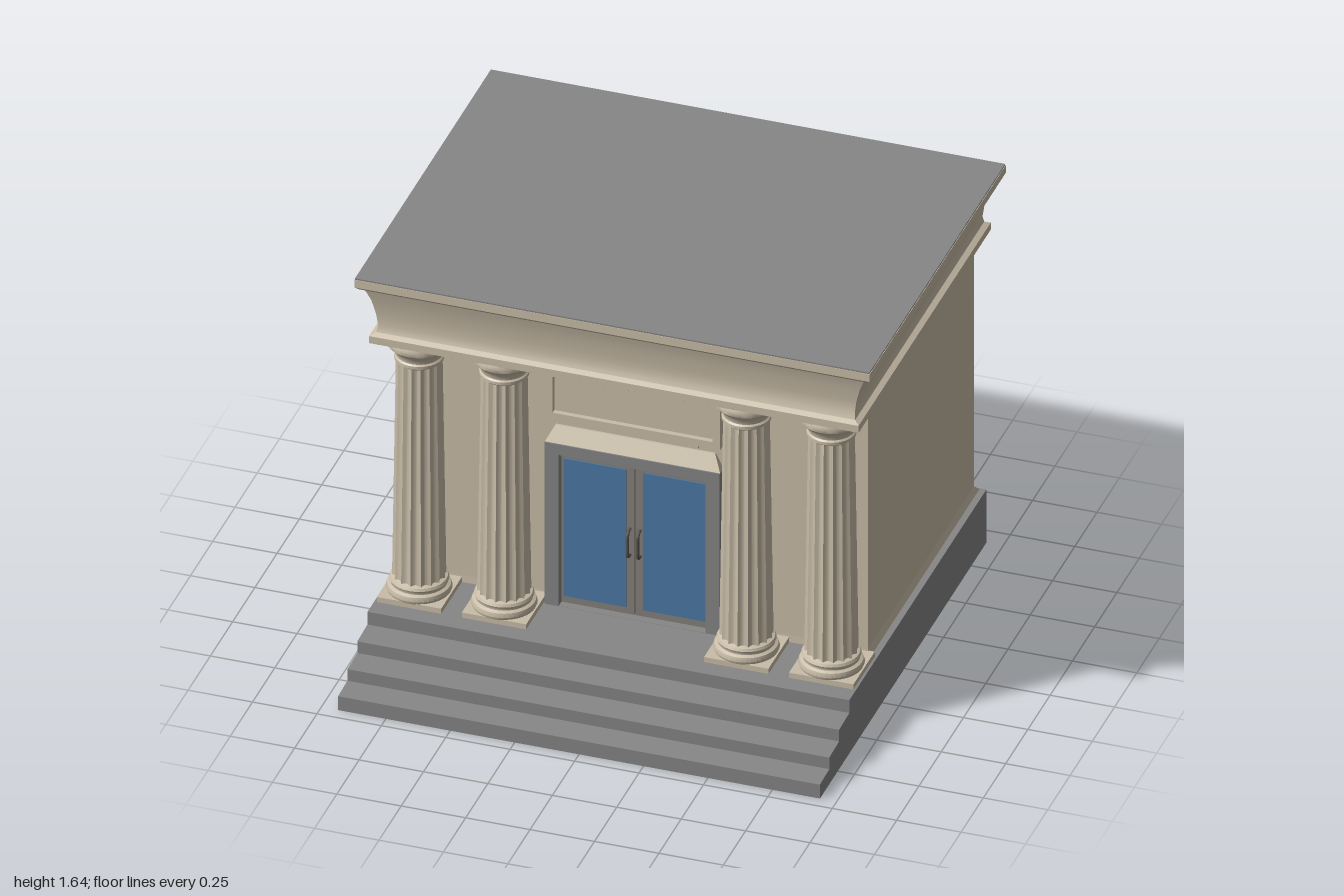
import * as THREE from 'three';
import { toCreasedNormals } from 'three/addons/utils/BufferGeometryUtils.js';

const mat = (name, color) => {
  const m = new THREE.MeshStandardMaterial({ color });
  m.name = name;
  return m;
};

export function createModel() {
  const stone = mat('warmStone', 0xc9bda8);
  const grey = mat('greyStone', 0x868686);
  const metal = mat('doorMetal', 0x85817c);
  const glass = mat('blueGlass', 0x4c7aa6);
  const dark = mat('darkMetal', 0x5c5853);

  const root = new THREE.Group();
  root.name = 'columnedBuilding';

  const add = (name, geo, material, parent = root) => {
    const m = new THREE.Mesh(geo, material);
    m.name = name;
    parent.add(m);
    return m;
  };
  // Box given by its limits on each axis
  const box = (name, x0, x1, y0, y1, z0, z1, material, parent) =>
    add(name, new THREE.BoxGeometry(x1 - x0, y1 - y0, z1 - z0)
      .translate((x0 + x1) / 2, (y0 + y1) / 2, (z0 + z1) / 2), material, parent);
  // Rectangular moulding from [y, halfX, zFront, zBack] rings
  const moulding = (rings, crease) => {
    const loops = rings.map(([y, x, f, b]) => [[-x, y, f], [x, y, f], [x, y, b], [-x, y, b]]);
    const pos = [];
    const quad = (a, b, c, d) => pos.push(...a, ...b, ...c, ...a, ...c, ...d);
    for (let i = 0; i < loops.length - 1; i++) {
      for (let k = 0; k < 4; k++) {
        const n = (k + 1) % 4;
        quad(loops[i][k], loops[i][n], loops[i + 1][n], loops[i + 1][k]);
      }
    }
    const [a, b, c, d] = loops[0];
    quad(d, c, b, a);
    const [e, f, g, h] = loops[loops.length - 1];
    quad(e, f, g, h);
    const geo = new THREE.BufferGeometry();
    geo.setAttribute('position', new THREE.Float32BufferAttribute(pos, 3));
    geo.computeVertexNormals();
    return toCreasedNormals(geo, crease);
  };

  // Stepped base, extruded across x
  const profile = new THREE.Shape([
    [-0.92, 0], [0.95, 0], [0.95, 0.06], [0.845, 0.065], [0.845, 0.115], [0.735, 0.12],
    [0.735, 0.17], [0.62, 0.175], [0.62, 0.23], [-0.92, 0.23],
  ].map(([z, y]) => new THREE.Vector2(z, y)));
  add('steppedBase', new THREE.ExtrudeGeometry(profile, { depth: 1.87, bevelEnabled: false })
    .rotateY(-Math.PI / 2).translate(0.935, 0, 0), grey);

  // Walls
  box('walls', -0.9, 0.9, 0.23, 1.36, -0.88, 0.31, stone);
  add('wallFoot', moulding([[0.23, 0.91, 0.312, -0.915], [0.26, 0.9, 0.31, -0.88]], 0.2), stone);

  // Entablature: lower band, flared frieze, cornice
  add('entablature', moulding([
    [1.345, 0.93, 0.545, -0.905], [1.355, 0.95, 0.56, -0.925], [1.385, 0.95, 0.56, -0.925],
    [1.395, 0.93, 0.54, -0.91], [1.42, 0.925, 0.53, -0.905], [1.47, 0.932, 0.533, -0.908],
    [1.53, 0.948, 0.54, -0.918], [1.575, 0.968, 0.552, -0.93], [1.585, 0.985, 0.568, -0.94],
    [1.597, 1, 0.58, -0.95], [1.63, 1, 0.58, -0.95],
  ], 0.5), stone);
  box('roof', -0.998, 0.998, 1.628, 1.636, -0.948, 0.578, grey);

  // Fluted columns
  const lathe = (pts) => toCreasedNormals(
    new THREE.LatheGeometry(pts.map(([r, y]) => new THREE.Vector2(r, y)), 40), 0.7);
  const footGeo = lathe([[0.118, 0.25], [0.123, 0.262], [0.118, 0.278], [0.106, 0.284],
    [0.106, 0.292], [0.111, 0.3], [0.106, 0.31], [0.09, 0.316]]);
  const capitalGeo = lathe([[0.08, 1.24], [0.092, 1.25], [0.092, 1.262], [0.086, 1.268],
    [0.088, 1.285], [0.108, 1.305], [0.112, 1.312], [0.118, 1.316], [0.12, 1.335], [0.112, 1.35]]);
  const flutes = 16;
  const shaft = new THREE.CylinderGeometry(0.086, 0.1, 0.95, flutes * 6, 1, true);
  const p = shaft.attributes.position;
  for (let i = 0; i < p.count; i++) {
    const a = Math.atan2(p.getX(i), p.getZ(i));
    const k = 1 - 0.1 * Math.abs(Math.sin(a * flutes / 2));
    p.setXYZ(i, p.getX(i) * k, p.getY(i), p.getZ(i) * k);
  }
  shaft.computeVertexNormals();
  const shaftGeo = toCreasedNormals(shaft.translate(0, 0.775, 0), 0.6);
  for (const x of [-0.8, -0.47, 0.47, 0.8]) {
    const column = new THREE.Group();
    column.name = 'column';
    column.position.set(x, 0, 0.43);
    add('columnFoot', footGeo, stone, column);
    add('columnShaft', shaftGeo, stone, column);
    add('columnCapital', capitalGeo, stone, column);
    box('columnPlinth', -0.125, 0.125, 0.228, 0.252, -0.125, 0.115, stone, column);
    root.add(column);
  }

  // Door surround
  const rect = (T, x, y0, y1) => new T([[-x, y0], [x, y0], [x, y1], [-x, y1]]
    .map(([u, v]) => new THREE.Vector2(u, v)));
  const frame = rect(THREE.Shape, 0.34, 0.23, 0.93);
  frame.holes.push(rect(THREE.Path, 0.285, 0.231, 0.885));
  add('doorSurround', new THREE.ExtrudeGeometry(frame, { depth: 0.05, bevelEnabled: false })
    .translate(0, 0, 0.305), grey);
  add('doorHood', moulding([[0.93, 0.34, 0.35, 0.3], [0.99, 0.31, 0.318, 0.3]], 0.1), stone);

  // Two glazed door leaves with loop handles
  for (const s of [-1, 1]) {
    const leaf = new THREE.Group();
    leaf.name = s > 0 ? 'leftDoor' : 'rightDoor';
    const span = (a, b) => (s > 0 ? [a, b] : [-b, -a]);
    box('doorLeaf', ...span(0.002, 0.285), 0.23, 0.885, 0.305, 0.322, metal, leaf);
    box('doorGlass', ...span(0.033, 0.275), 0.26, 0.855, 0.32, 0.326, glass, leaf);
    const path = new THREE.CatmullRomCurve3([[0.489, 0.32], [0.495, 0.345], [0.545, 0.35],
      [0.595, 0.345], [0.601, 0.32]].map(([y, z]) => new THREE.Vector3(s * 0.02, y, z)));
    add('doorHandle', new THREE.TubeGeometry(path, 16, 0.007, 8), dark, leaf);
    root.add(leaf);
  }

  // Blank sign panel with raised rim and ledge
  const rim = rect(THREE.Shape, 0.34, 1.03, 1.24);
  rim.holes.push(rect(THREE.Path, 0.31, 1.06, 1.215));
  add('signRim', new THREE.ExtrudeGeometry(rim, { depth: 0.045, bevelEnabled: false })
    .translate(0, 0, 0.305), stone);
  box('signPanel', -0.31, 0.31, 1.06, 1.215, 0.305, 0.33, stone);
  box('signLedge', -0.25, 0.25, 1.01, 1.03, 0.305, 0.34, stone);

  return root;
}
